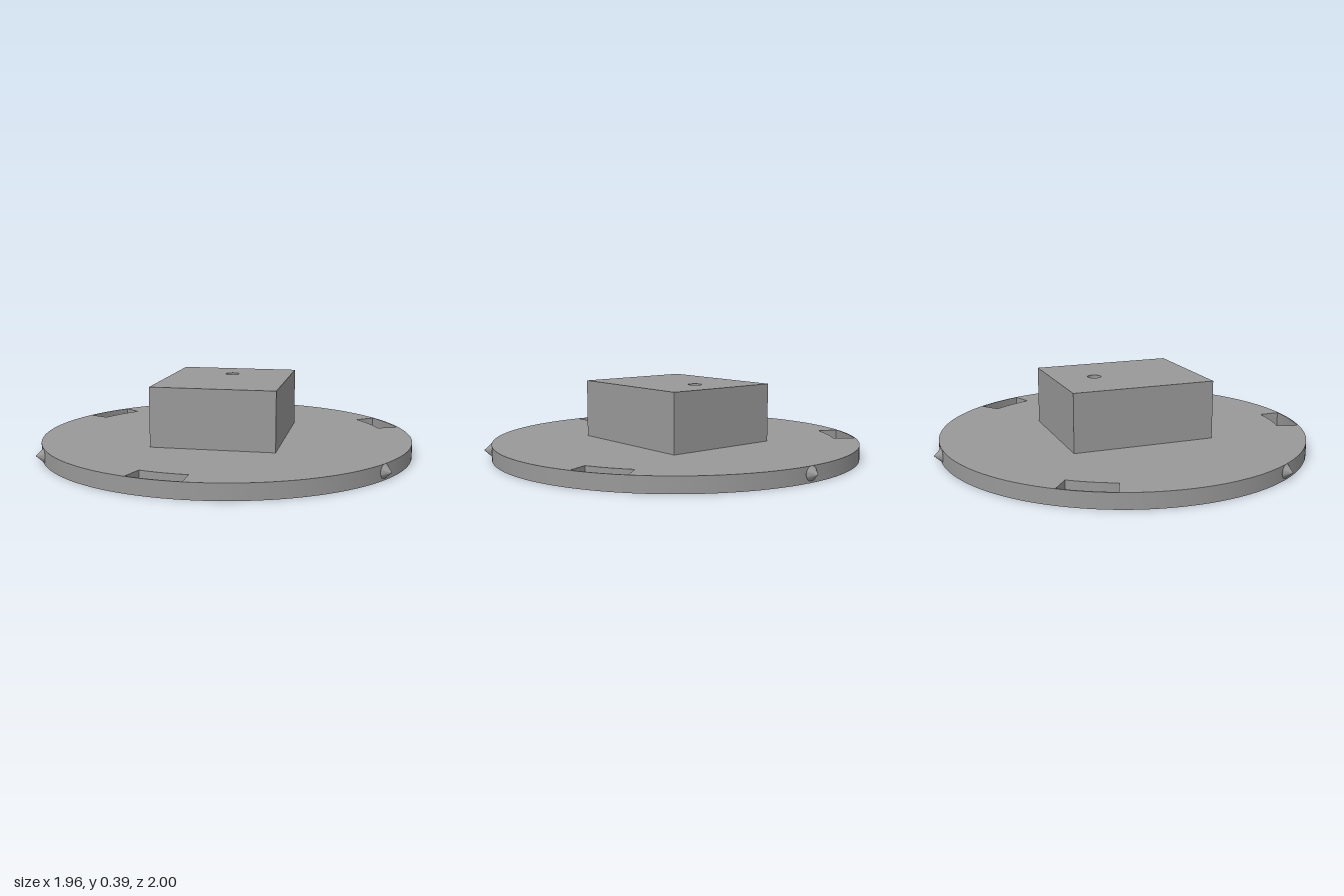
import * as THREE from 'three';
import { toCreasedNormals } from 'three/addons/utils/BufferGeometryUtils.js';

const rad = THREE.MathUtils.degToRad;

// Disc and knob sizes
const RADIUS = 0.98, THICKNESS = 0.08, CENTRE_Z = 0.02;

// Extrudes a plan shape upwards, keeping curved walls smooth
function extrudeUp(shape, height, curveSegments) {
  const geo = new THREE.ExtrudeGeometry(shape, { depth: height, bevelEnabled: false, curveSegments });
  geo.rotateX(-Math.PI / 2);
  return toCreasedNormals(geo, rad(30));
}

// Curved slot between two angles, measured from +z towards +x
function slot(from, to) {
  const a = rad(from - 90), b = rad(to - 90);
  const path = new THREE.Path();
  path.absarc(0, 0, 0.973, a, b, false);
  path.absarc(0, 0, 0.859, b, a, true);
  path.closePath();
  return path;
}

export function createModel() {
  const model = new THREE.Group();
  model.name = 'slottedDiscCap';
  const grey = new THREE.MeshStandardMaterial({ color: 0x999999 });
  grey.name = 'grey';

  function add(name, geo) {
    const mesh = new THREE.Mesh(geo, grey);
    mesh.name = name;
    model.add(mesh);
    return mesh;
  }

  // Round base plate with three slots close to the rim
  const plate = new THREE.Shape();
  plate.absarc(0, 0, RADIUS, 0, Math.PI * 2, false);
  for (const [from, to] of [[-16.2, 0], [112, 128.6], [231.4, 248]]) plate.holes.push(slot(from, to));
  add('basePlate', extrudeUp(plate, THICKNESS, 96)).position.z = CENTRE_Z;

  // Block on top with a small round hole towards the back
  const block = new THREE.Shape();
  block.moveTo(-0.32, -0.38);
  block.lineTo(0.32, -0.38);
  block.lineTo(0.32, 0.38);
  block.lineTo(-0.32, 0.38);
  block.closePath();
  const hole = new THREE.Path();
  hole.absarc(0, 0.16, 0.036, 0, Math.PI * 2, true);
  block.holes.push(hole);
  add('block', extrudeUp(block, 0.307, 32)).position.set(0, THICKNESS, CENTRE_Z);

  // Pointed locking knobs around the rim
  const profile = [[0, -0.06], [0.036, -0.06], [0.036, 0], [0, 0.04]].map(([x, y]) => new THREE.Vector2(x, y));
  const knobGeo = toCreasedNormals(new THREE.LatheGeometry(profile, 32).rotateX(Math.PI / 2), rad(30));
  for (const angle of [-58.3, 60, 180]) {
    const a = rad(angle);
    const knob = add('rimKnob', knobGeo);
    knob.position.set(Math.sin(a) * RADIUS, 0.044, CENTRE_Z + Math.cos(a) * RADIUS);
    knob.rotation.y = a;
  }
  return model;
}
